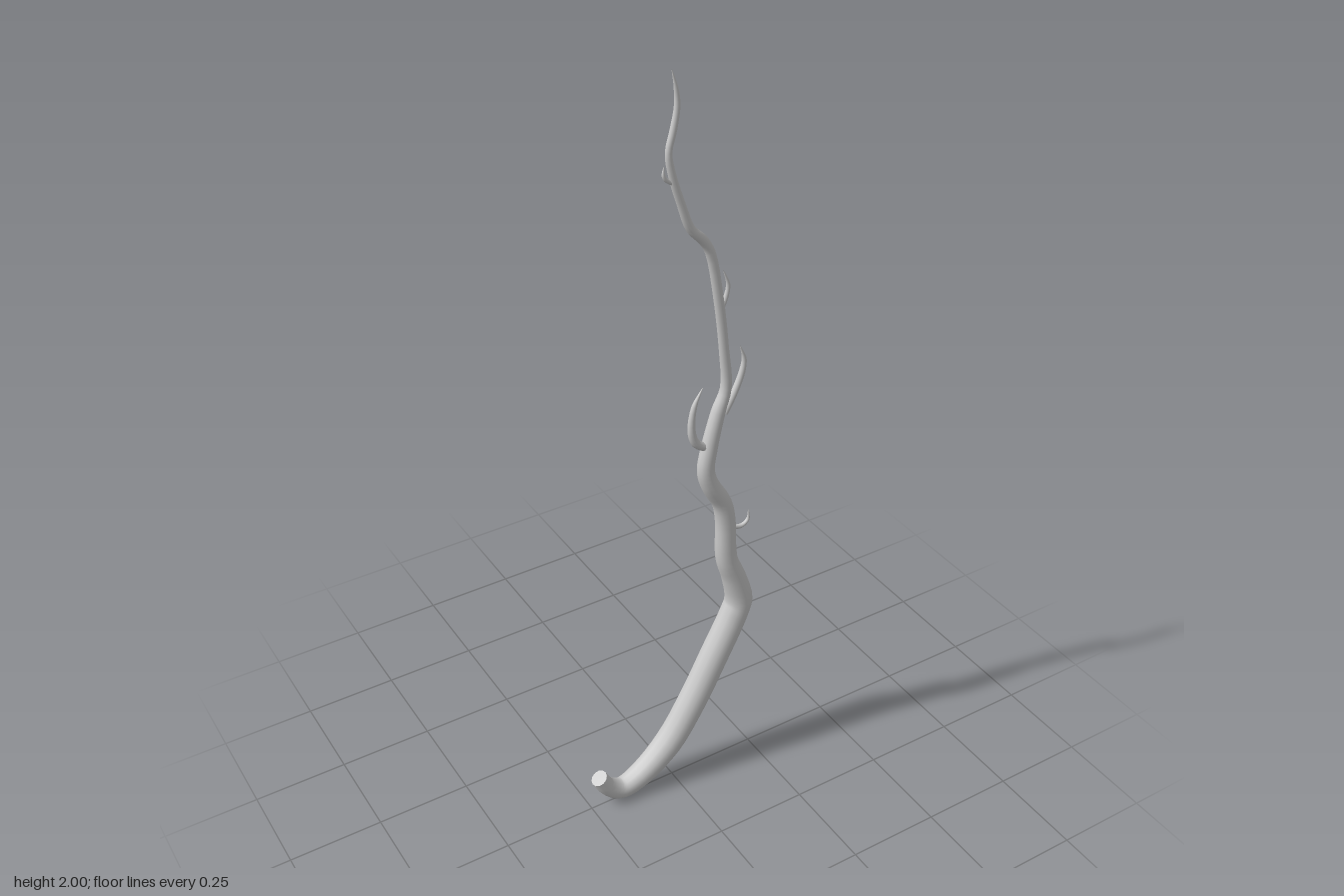
import * as THREE from 'three';

const SIDES = 12;
const material = new THREE.MeshStandardMaterial({ color: 0xcccccc, side: THREE.DoubleSide });

// Sweeps a tapering round section along a path in the xy plane; stations are [x, y, radius]
function taperedStem(name, stations, steps = 4) {
  const curve = new THREE.CatmullRomCurve3(stations.map(([x, y]) => new THREE.Vector3(x, y, 0)));
  const rings = (stations.length - 1) * steps;
  const positions = [], indices = [];
  for (let i = 0; i <= rings; i++) {
    const t = i / rings;
    const k = Math.min(Math.floor(i / steps), stations.length - 2);
    const r = THREE.MathUtils.lerp(stations[k][2], stations[k + 1][2], i / steps - k);
    const p = curve.getPoint(t), d = curve.getTangent(t);
    for (let j = 0; j < SIDES; j++) {
      const a = (j / SIDES) * Math.PI * 2;
      const c = Math.cos(a) * r;
      positions.push(p.x + d.y * c, p.y - d.x * c, -Math.sin(a) * r);
      if (i < rings) {
        const n = (j + 1) % SIDES, b = i * SIDES, u = b + SIDES;
        indices.push(b + j, b + n, u + j, b + n, u + n, u + j);
      }
    }
  }
  const geometry = new THREE.BufferGeometry();
  geometry.setAttribute('position', new THREE.Float32BufferAttribute(positions, 3));
  geometry.setIndex(indices);
  geometry.computeVertexNormals();
  const mesh = new THREE.Mesh(geometry, material);
  mesh.name = name;
  return mesh;
}

// Flat disc closing the cut end of a stem
function cutEnd(name, [x, y, r], [nx, ny]) {
  const mesh = new THREE.Mesh(new THREE.CircleGeometry(r, SIDES), material);
  mesh.name = name;
  mesh.position.set(x, y, 0);
  mesh.quaternion.setFromUnitVectors(
    new THREE.Vector3(0, 0, 1),
    new THREE.Vector3(x - nx, y - ny, 0).normalize());
  return mesh;
}

export function createModel() {
  const group = new THREE.Group();
  group.name = 'twistedBranch';

  // Main branch: hooked handle, bowed thick shaft, kinked thin upper part
  const main = [
    [-0.225, 0.1, 0.023], [-0.2, 0.058, 0.025], [-0.158, 0.031, 0.029], [-0.1, 0.05, 0.033],
    [-0.01, 0.125, 0.038], [0.065, 0.24, 0.039], [0.13, 0.365, 0.039], [0.192, 0.49, 0.038],
    [0.204, 0.53, 0.037], [0.187, 0.61, 0.032], [0.163, 0.68, 0.028], [0.157, 0.8, 0.026],
    [0.145, 0.86, 0.025], [0.112, 0.92, 0.024], [0.097, 0.97, 0.022], [0.105, 1.03, 0.021],
    [0.13, 1.13, 0.018], [0.15, 1.19, 0.014], [0.142, 1.3, 0.012], [0.124, 1.44, 0.012],
    [0.1, 1.56, 0.012], [0.08, 1.595, 0.012], [0.048, 1.63, 0.011], [0.025, 1.69, 0.01],
    [0, 1.77, 0.009], [-0.008, 1.82, 0.008], [0.004, 1.87, 0.008], [0.013, 1.92, 0.007],
    [0.01, 1.96, 0.005], [0, 2, 0.0008],
  ];
  group.add(taperedStem('mainBranch', main));
  group.add(cutEnd('cutEnd', main[0], main[1]));

  // Small curling twigs
  const twigs = {
    lowerTwig: [[0.165, 0.775, 0.006], [0.205, 0.763, 0.006], [0.225, 0.775, 0.005], [0.227, 0.805, 0.001]],
    leftTwig: [[0.105, 1.035, 0.011], [0.068, 1.06, 0.011], [0.055, 1.1, 0.01], [0.062, 1.165, 0.007], [0.085, 1.21, 0.001]],
    rightTwig: [[0.148, 1.12, 0.009], [0.175, 1.17, 0.009], [0.195, 1.22, 0.008], [0.2, 1.255, 0.006], [0.188, 1.292, 0.001]],
    upperTwig: [[0.128, 1.395, 0.006], [0.145, 1.435, 0.006], [0.15, 1.465, 0.005], [0.137, 1.503, 0.001]],
    topTwig: [[0.002, 1.748, 0.005], [-0.015, 1.76, 0.005], [-0.021, 1.772, 0.004], [-0.02, 1.79, 0.001]],
  };
  for (const [name, stations] of Object.entries(twigs)) group.add(taperedStem(name, stations));

  return group;
}
